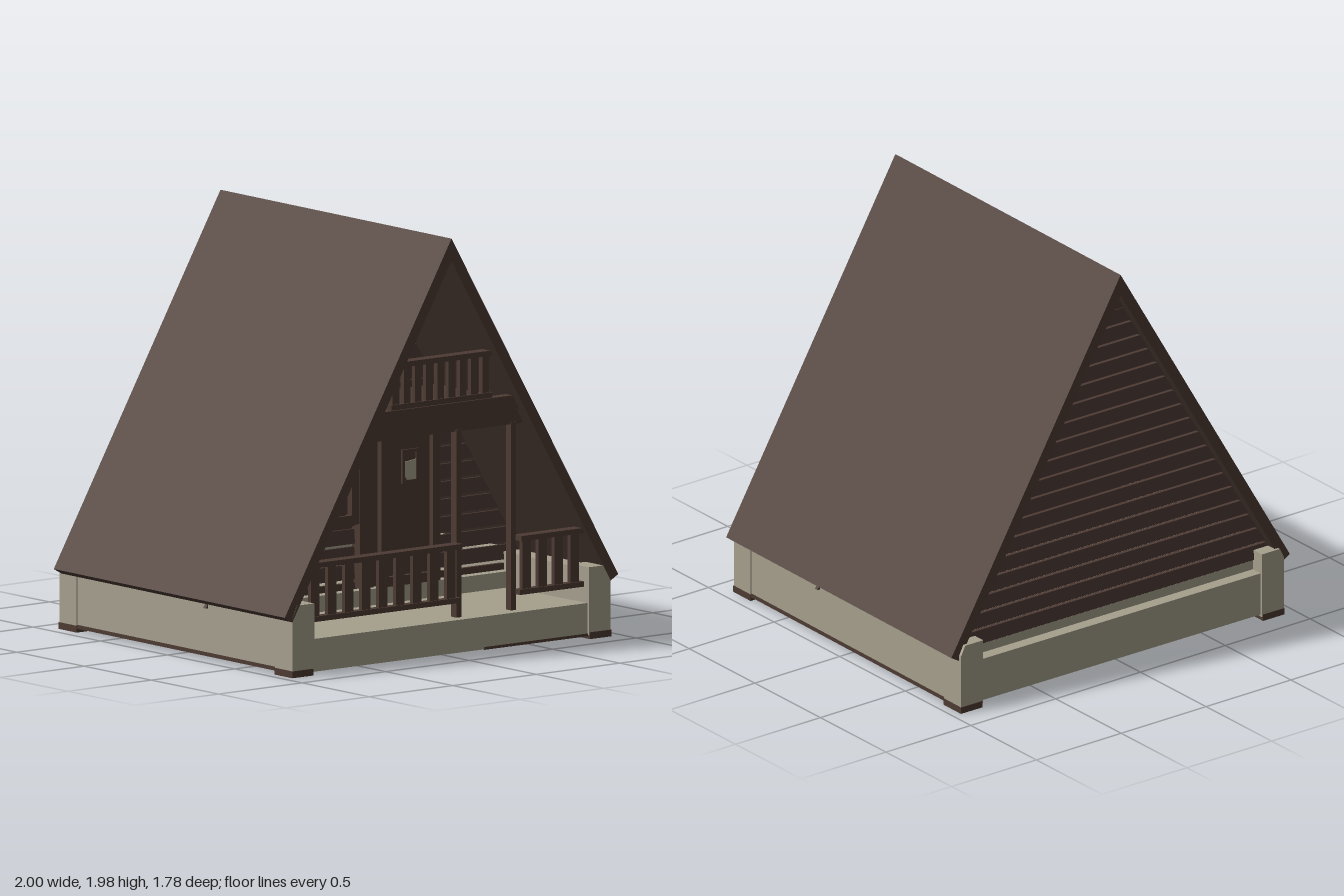
import * as THREE from 'three';

const wood = new THREE.MeshStandardMaterial({ color: 0x4d3b34 });
wood.name = 'darkWood';
const stone = new THREE.MeshStandardMaterial({ color: 0xa69f8d });
stone.name = 'paleStone';

const SLOPE = 0.99 / 1.69; // half width gained per unit of height below the ridge
const INNER = 1.875; // height of the roof's inner apex
const WALL = 0.22; // z of the recessed front wall
const halfWidth = (y) => SLOPE * (INNER - y);

export function createModel() {
  const model = new THREE.Group();
  model.name = 'aFrameCabin';

  // The cabin stands very slightly turned
  const house = new THREE.Group();
  house.name = 'cabinBody';
  house.rotation.y = -0.01;
  model.add(house);

  const group = (name, z = 0) => {
    const g = new THREE.Group();
    g.name = name;
    g.position.z = z;
    house.add(g);
    return g;
  };

  // Box given by its limits on each axis
  function box(parent, name, mat, x0, x1, y0, y1, z0, z1) {
    const m = new THREE.Mesh(new THREE.BoxGeometry(x1 - x0, y1 - y0, z1 - z0), mat);
    m.position.set((x0 + x1) / 2, (y0 + y1) / 2, (z0 + z1) / 2);
    m.name = name;
    parent.add(m);
  }

  // Outline in the xy plane, extruded from z0 to z1
  function slab(parent, name, mat, pts, z0, z1) {
    const shape = new THREE.Shape(pts.map(([x, y]) => new THREE.Vector2(x, y)));
    const geo = new THREE.ExtrudeGeometry(shape, { depth: z1 - z0, bevelEnabled: false });
    const m = new THREE.Mesh(geo, mat);
    m.position.z = z0;
    m.name = name;
    parent.add(m);
    return m;
  }

  // Board whose ends follow the roof slope
  const roofBoard = (parent, name, y0, y1, z0, z1) => slab(parent, name, wood, [
    [-halfWidth(y0), y0], [halfWidth(y0), y0], [halfWidth(y1), y1], [-halfWidth(y1), y1],
  ], z0, z1);

  // Roof: one chevron with square-cut eaves
  slab(house, 'roof', wood, [
    [-0.99, 0.29], [-0.945, 0.264], [0, INNER], [0.945, 0.264], [0.99, 0.29], [0, 1.98],
  ], -0.86, 0.88);

  // Foundation: side walls, corner posts, cross beams and floor slabs
  const base = group('foundation');
  for (const s of [-1, 1]) {
    const mirror = (pts) => pts.map(([x, y]) => [x * s, y]);
    const outer = [[0.94, 0.02], [0.94, 0.29], [0.92, 0.33], [0.815, 0.33]];
    slab(base, 'sideWall', stone, mirror([[0.88, 0.02], ...outer, [0.815, 0.13], [0.88, 0.13]]), -0.75, 0.75);
    const post = mirror([[0.815, 0.02], [0.945, 0.02], [0.945, 0.29], [0.92, 0.34], [0.815, 0.34]]);
    const [a, b] = s > 0 ? [0.82, 0.947] : [-0.947, -0.82];
    for (const z of [-0.875, 0.75]) {
      slab(base, 'cornerPost', stone, post, z, z + 0.13);
      box(base, 'cornerFoot', wood, a, b, 0, 0.032, z - 0.002, z + 0.132);
    }
    // Worn dark edge along the foot of the wall
    const x = s * 0.94;
    box(base, 'wornEdge', wood, x - 0.003, x + 0.003, 0.018, 0.036, -0.75, 0.75);
  }
  box(base, 'frontWornEdge', wood, 0.2, 0.815, 0.013, 0.026, 0.865, 0.873);
  box(base, 'frontBeam', stone, -0.82, 0.82, 0.015, 0.17, 0.77, 0.87);
  box(base, 'porchBeam', stone, -0.88, 0.88, 0.025, 0.15, 0.52, 0.58);
  box(base, 'wallPlinth', stone, -0.82, 0.82, 0.13, 0.245, 0.17, 0.29);
  box(base, 'backBeam', stone, -0.82, 0.82, 0.03, 0.24, -0.865, -0.75);
  box(base, 'backPlinth', stone, -0.82, 0.82, 0.2, 0.285, -0.805, -0.74);
  box(base, 'porchFloor', stone, -0.88, 0.88, 0.12, 0.168, 0.28, 0.78);
  box(base, 'indoorFloor', stone, -0.88, 0.88, 0.12, 0.2, -0.76, 0.18);
  for (const [x, z] of [[0.085, 0.75], [0.415, 0.75], [-0.01, 0.22], [0.45, 0.22]]) {
    const peg = new THREE.Mesh(new THREE.CylinderGeometry(0.025, 0.025, 0.05, 12), wood);
    peg.position.set(x, 0.115, z);
    peg.name = 'floorPeg';
    base.add(peg);
  }

  // Siding: slightly tilted boards with narrow gaps, on both gable walls
  const front = group('frontSiding', WALL);
  const back = group('backSiding', -0.815);
  const PITCH = 0.0836;
  for (let i = 0; i < 18; i++) {
    const y0 = 0.291 + i * PITCH;
    const h = PITCH - 0.014;
    const y1 = y0 + h;
    for (const [wall, tilt] of [[front, -0.09], [back, 0.09]]) {
      const board = slab(wall, 'sidingBoard', wood, [
        [-halfWidth(y0), 0], [halfWidth(y0), 0], [halfWidth(y1), h], [-halfWidth(y1), h],
      ], 0, 0.022);
      board.position.y = y0;
      board.rotation.x = tilt;
    }
  }
  roofBoard(front, 'bottomBoard', 0.245, 0.276, 0, 0.02);
  for (const wall of [front, back]) roofBoard(wall, 'peakBoard', 1.787, 1.872, 0, 0.02);

  // Frame of four boards around an opening
  function frame(parent, x0, x1, y0, y1, w, z0, z1) {
    box(parent, 'leftTrim', wood, x0, x0 + w, y0, y1, z0, z1);
    box(parent, 'rightTrim', wood, x1 - w, x1, y0, y1, z0, z1);
    box(parent, 'topTrim', wood, x0 + w, x1 - w, y1 - w, y1, z0, z1);
    box(parent, 'bottomTrim', wood, x0 + w, x1 - w, y0, y0 + w, z0, z1);
  }

  // Window with a pale curtain and thin glazing bars
  const win = group('window', WALL);
  box(win, 'backing', wood, -0.47, -0.1, 0.57, 1.0, -0.01, 0.035);
  frame(win, -0.485, -0.08, 0.56, 1.01, 0.045, 0.01, 0.07);
  frame(win, -0.445, -0.155, 0.6, 0.96, 0.025, 0.03, 0.055);
  slab(win, 'curtain', stone, [
    [-0.43, 0.92], [-0.43, 0.78], [-0.415, 0.66], [-0.39, 0.63], [-0.375, 0.71], [-0.34, 0.74],
    [-0.3, 0.72], [-0.29, 0.64], [-0.19, 0.63], [-0.185, 0.78], [-0.165, 0.8], [-0.165, 0.92],
  ], 0.036, 0.041);
  for (const x of [-0.37, -0.31, -0.25, -0.2]) {
    box(win, 'glazingBar', wood, x - 0.002, x + 0.002, 0.62, 0.94, 0.04, 0.047);
  }
  for (const y of [0.71, 0.78, 0.85]) {
    box(win, 'glazingBar', wood, -0.43, -0.17, y - 0.002, y + 0.002, 0.04, 0.047);
  }

  // Main door with its post boards and small pane
  const door = group('mainDoor', WALL);
  box(door, 'postBoard', wood, -0.07, 0.01, 0.25, 1.05, 0, 0.06);
  box(door, 'sideBoard', wood, 0.01, 0.06, 0.25, 1.05, 0, 0.04);
  box(door, 'doorLeaf', wood, 0.1, 0.36, 0.25, 1.02, 0, 0.045);
  frame(door, 0.05, 0.4, 0.245, 1.06, 0.045, 0, 0.07);
  frame(door, 0.185, 0.285, 0.72, 0.88, 0.015, 0.04, 0.055);
  slab(door, 'doorPane', stone, [
    [0.2, 0.82], [0.2, 0.76], [0.22, 0.735], [0.27, 0.735], [0.275, 0.83],
  ], 0.045, 0.05);

  // Balcony door in the upper gable
  const upper = group('balconyDoor', WALL);
  box(upper, 'doorLeaf', wood, -0.13, 0.07, 1.1, 1.6, 0, 0.04);
  frame(upper, -0.19, 0.09, 1.08, 1.62, 0.05, 0, 0.06);
  frame(upper, -0.045, 0.03, 1.4, 1.52, 0.015, 0.035, 0.05);
  slab(upper, 'doorPane', stone, [
    [-0.03, 1.47], [-0.03, 1.43], [0.0, 1.415], [0.015, 1.43], [0.015, 1.48],
  ], 0.04, 0.045);

  // Railing: top rail, bottom rail and evenly spaced balusters
  function railing(name, x0, x1, y0, y1, z, count, w) {
    const g = group(name, z);
    box(g, 'topRail', wood, x0, x1, y1 - 0.025, y1, -0.03, 0.03);
    box(g, 'bottomRail', wood, x0, x1, y0, y0 + 0.025, -0.02, 0.02);
    const step = (x1 - x0) / count;
    for (let i = 0; i < count; i++) {
      const x = x0 + step * (i + 0.5);
      box(g, 'baluster', wood, x - w / 2, x + w / 2, y0 + 0.025, y1 - 0.025, -0.012, 0.012);
    }
  }
  railing('porchRailingRight', -0.83, 0.08, 0.245, 0.525, 0.83, 9, 0.05);
  railing('porchRailingLeft', 0.43, 0.81, 0.245, 0.525, 0.83, 4, 0.05);
  railing('balconyRailing', -0.31, 0.29, 1.19, 1.415, 0.8, 9, 0.04);

  // Porch posts carrying the balcony
  const porch = group('porch');
  for (const x of [0.095, 0.42]) box(porch, 'porchPost', wood, x - 0.015, x + 0.015, 0.168, 1.06, 0.775, 0.815);

  // Balcony deck and its beams
  const balcony = group('balcony');
  roofBoard(balcony, 'balconyDeck', 1.13, 1.165, WALL, 0.8);
  roofBoard(balcony, 'lowerBeam', 1.05, 1.125, 0.75, 0.81);
  roofBoard(balcony, 'edgeBeam', 1.125, 1.19, 0.78, 0.83);
  roofBoard(balcony, 'wallBeam', 1.05, 1.13, WALL, WALL + 0.06);
  roofBoard(balcony, 'collarBoard', 1.63, 1.69, WALL + 0.02, WALL + 0.05);

  return model;
}
